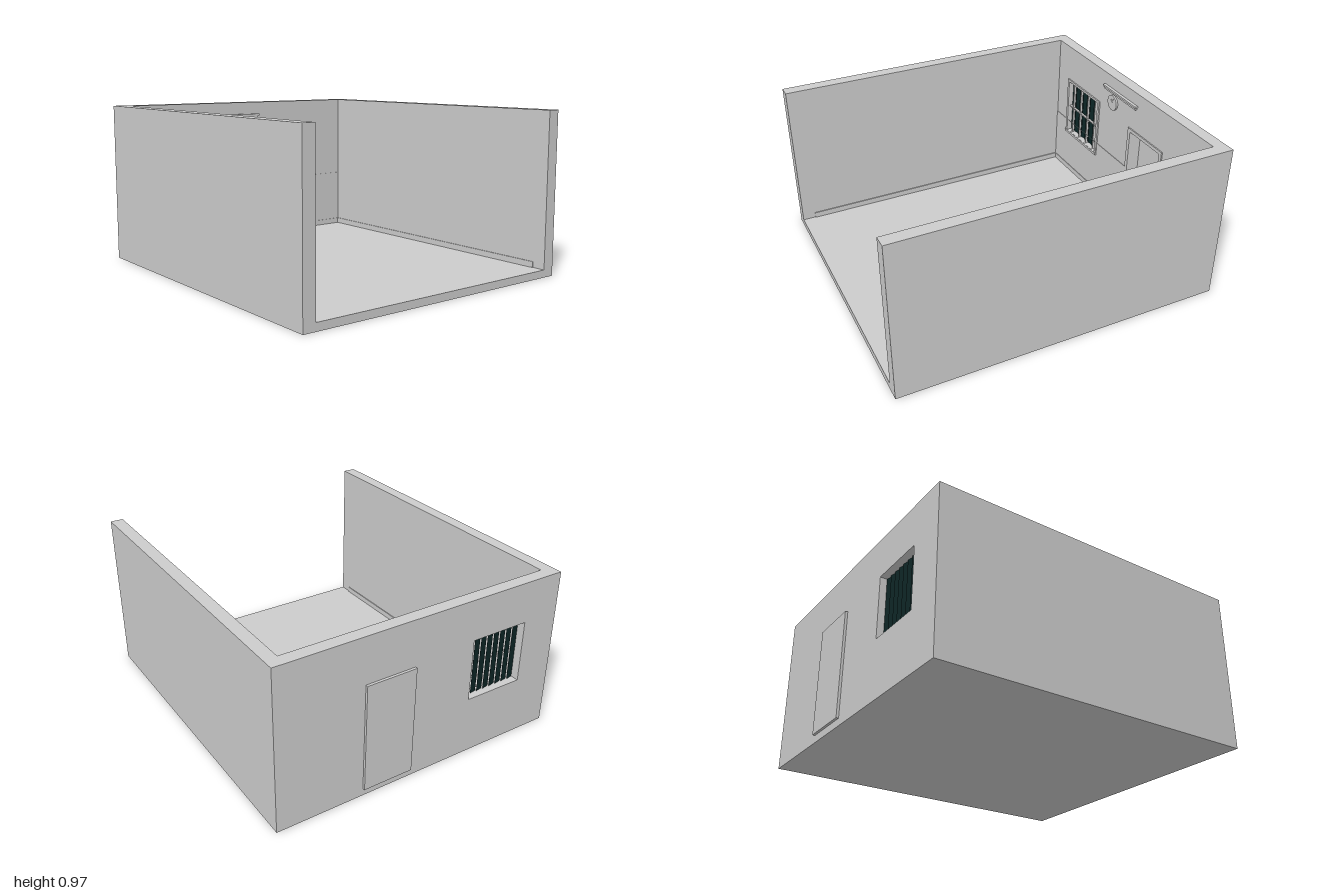
import * as THREE from 'three';

export function createModel() {
  const room = new THREE.Group();
  room.name = 'room';
  const plaster = new THREE.MeshStandardMaterial({ color: 0xcccccc });
  plaster.name = 'plaster grey';
  const glass = new THREE.MeshStandardMaterial({ color: 0x0d2626, side: THREE.DoubleSide });
  glass.name = 'dark glass';

  const add = (name, geometry, material = plaster) => {
    const mesh = new THREE.Mesh(geometry, material);
    mesh.name = name;
    room.add(mesh);
    return mesh;
  };
  // Box given by its lower and upper limits
  const box = (name, x0, x1, y0, y1, z0, z1, material) =>
    add(name, new THREE.BoxGeometry(x1 - x0, y1 - y0, z1 - z0)
      .translate((x0 + x1) / 2, (y0 + y1) / 2, (z0 + z1) / 2), material);
  const rectangle = (x0, x1, y0, y1, Type = THREE.Path) => new Type([
    new THREE.Vector2(x0, y0), new THREE.Vector2(x1, y0),
    new THREE.Vector2(x1, y1), new THREE.Vector2(x0, y1),
  ]);
  const extrude = (name, shape, z0, z1) => add(name,
    new THREE.ExtrudeGeometry(shape, { depth: z1 - z0, bevelEnabled: false }).translate(0, 0, z0));

  const floorY = 0.045, top = 0.965, inner = 0.825, wallZ = -0.91, backZ = -0.985;

  // Shell: floor slab, two side walls, back wall with openings
  box('floor', -0.9, 0.9, 0, floorY, backZ, 1);
  for (const s of [-1, 1]) {
    const name = s < 0 ? 'right' : 'left';
    const a = s * inner, b = s * 0.9;
    box(name + 'Wall', Math.min(a, b), Math.max(a, b), floorY, top, backZ, 1);
    const c = s * (inner - 0.006);
    box(name + 'Baseboard', Math.min(a, c), Math.max(a, c), floorY, 0.08, wallZ, 0.92);
  }
  const wall = new THREE.Shape([
    [-inner, floorY], [0.075, floorY], [0.075, 0.69], [0.38, 0.69],
    [0.38, floorY], [inner, floorY], [inner, top], [-inner, top],
  ].map(([x, y]) => new THREE.Vector2(x, y)));
  wall.holes.push(rectangle(-0.67, -0.31, 0.35, 0.72));
  extrude('backWall', wall, backZ, wallZ);

  // Low wall panelling and baseboards along the back, clear of the door
  for (const [x0, x1] of [[-inner, 0.05], [0.405, inner]]) {
    const panel = rectangle(x0, x1, floorY, 0.425, THREE.Shape);
    if (x0 < 0) panel.holes.push(rectangle(-0.67, -0.31, 0.35, 0.424));
    extrude('wainscot', panel, wallZ, wallZ + 0.003);
    box('backBaseboard', x0, x1, floorY, 0.08, wallZ, wallZ + 0.007);
  }

  // Door: shallow slab on the outside and a casing on the inside
  box('door', 0.075, 0.38, floorY, 0.69, -1, backZ);
  extrude('doorFrame', new THREE.Shape([
    [0.05, floorY], [0.075, floorY], [0.075, 0.69], [0.38, 0.69],
    [0.38, floorY], [0.405, floorY], [0.405, 0.712], [0.05, 0.712],
  ].map(([x, y]) => new THREE.Vector2(x, y))), wallZ, wallZ + 0.008);

  // Window: casing, sill, pleated dark panes and glazing bars
  const casing = rectangle(-0.69, -0.29, 0.35, 0.735, THREE.Shape);
  casing.holes.push(rectangle(-0.67, -0.31, 0.352, 0.72));
  extrude('windowFrame', casing, wallZ, wallZ + 0.009);
  box('windowSill', -0.69, -0.29, 0.335, 0.35, wallZ, wallZ + 0.014);
  const slat = 0.36 / 8;
  for (let i = 0; i < 8; i++) {
    const pane = add('windowPane', new THREE.PlaneGeometry(slat * 1.02, 0.37), glass);
    pane.position.set(-0.67 + slat * (i + 0.5), 0.535, -0.94);
    pane.rotation.y = 0.2;
  }
  for (let i = 1; i < 8; i += 2) {
    const x = -0.67 + slat * i;
    box('windowBar', x - 0.004, x + 0.004, 0.35, 0.72, -0.93, -0.915);
  }
  box('windowCrossbar', -0.67, -0.31, 0.531, 0.539, -0.93, -0.915);

  // Strip lamp
  box('lampHousing', -0.245, 0.12, 0.874, 0.886, wallZ, -0.89);
  box('lampTube', -0.238, 0.112, 0.859, 0.874, wallZ, -0.897);

  // Wall clock with two hands
  const clock = add('clock', new THREE.CylinderGeometry(0.05, 0.05, 0.012, 32).rotateX(Math.PI / 2));
  clock.position.set(-0.14, 0.797, wallZ + 0.006);
  for (const [length, angle] of [[0.035, -0.4], [0.025, 0.5]]) {
    const hand = add('clockHand', new THREE.BoxGeometry(0.003, length, 0.002).translate(0, length / 2, 0));
    hand.position.set(-0.14, 0.797, wallZ + 0.013);
    hand.rotation.z = angle;
  }
  return room;
}
